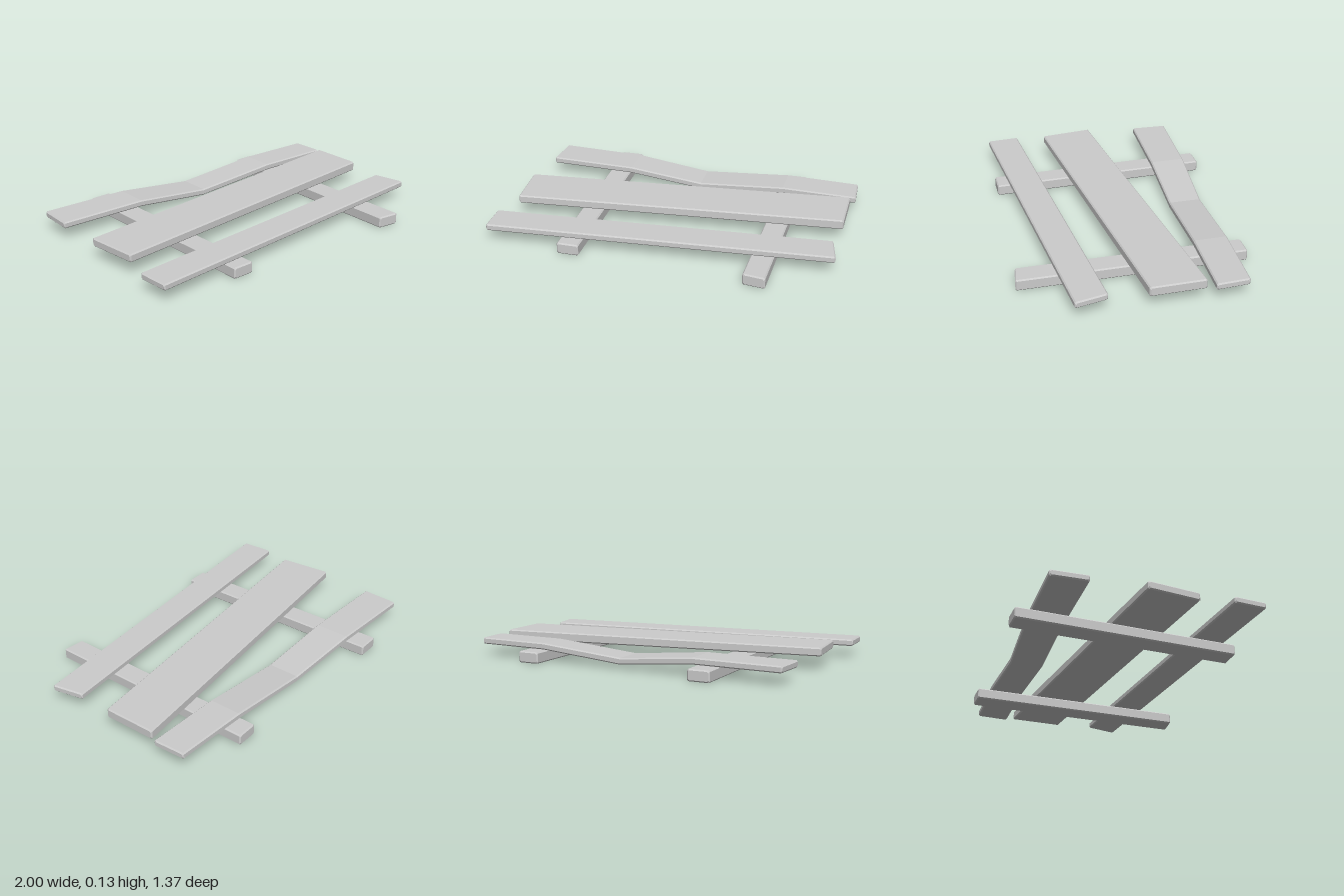
import * as THREE from 'three';

const material = new THREE.MeshStandardMaterial({ color: 0xcccccc, flatShading: true });
const C = 0.007; // edge chamfer

// Chamfered eight-point section between two edge points [x, z]
function section({ a, b, y0, y1 }, inset) {
  const w = Math.hypot(b[0] - a[0], b[1] - a[1]);
  const lo = y0 + inset, hi = y1 - inset;
  const l = inset, r = w - inset;
  const outline = [
    [l + C, lo], [r - C, lo], [r, lo + C], [r, hi - C],
    [r - C, hi], [l + C, hi], [l, hi - C], [l, lo + C],
  ];
  return outline.map(([s, y]) => [
    a[0] + (b[0] - a[0]) * s / w, y, a[1] + (b[1] - a[1]) * s / w,
  ]);
}

// Station a short step from p towards q, where the end chamfer starts
function stepIn(p, q) {
  const t = C / Math.hypot(q.a[0] - p.a[0], q.a[1] - p.a[1]);
  const mix = (u, v) => u + (v - u) * t;
  return {
    a: p.a.map((v, i) => mix(v, q.a[i])),
    b: p.b.map((v, i) => mix(v, q.b[i])),
    y0: mix(p.y0, q.y0), y1: mix(p.y1, q.y1),
  };
}

// Board lofted through stations [left edge x, z, right edge x, z, bottom, top]
function board(name, rows) {
  const st = rows.map(([ax, az, bx, bz, y0, y1]) => ({ a: [ax, az], b: [bx, bz], y0, y1 }));
  const n = st.length;
  const rings = [
    section(st[0], C),
    section(stepIn(st[0], st[1]), 0),
    ...st.slice(1, -1).map((s) => section(s, 0)),
    section(stepIn(st[n - 1], st[n - 2]), 0),
    section(st[n - 1], C),
  ];
  const index = [];
  for (let i = 0; i < rings.length - 1; i++) {
    for (let j = 0; j < 8; j++) {
      const p = i * 8 + j, q = i * 8 + (j + 1) % 8;
      index.push(p, p + 8, q + 8, p, q + 8, q);
    }
  }
  const end = (rings.length - 1) * 8;
  for (let j = 1; j < 7; j++) {
    index.push(0, j, j + 1, end, end + j + 1, end + j);
  }
  const geometry = new THREE.BufferGeometry();
  geometry.setAttribute('position', new THREE.Float32BufferAttribute(rings.flat(2), 3));
  geometry.setIndex(index);
  geometry.computeVertexNormals();
  const mesh = new THREE.Mesh(geometry, material);
  mesh.name = name;
  return mesh;
}

export function createModel() {
  const group = new THREE.Group();
  group.name = 'plankPlatform';
  group.add(
    // Two supporting beams, running back to front
    board('rightBeam', [
      [-0.45, -0.688, -0.58, -0.688, 0, 0.066],
      [-0.425, 0.612, -0.552, 0.612, 0, 0.066],
    ]),
    board('leftBeam', [
      [0.655, -0.62, 0.528, -0.62, 0, 0.066],
      [0.648, 0.685, 0.52, 0.667, 0, 0.066],
    ]),
    // Three crooked planks laid across
    board('frontPlank', [
      [-1, 0.395, -0.99, 0.585, 0.069, 0.107],
      [0.943, 0.248, 0.982, 0.433, 0.069, 0.107],
    ]),
    board('middlePlank', [
      [-0.972, -0.085, -0.94, 0.225, 0.078, 0.126],
      [0.968, -0.28, 0.97, 0.035, 0.069, 0.126],
    ]),
    // The back plank sags between the beams
    board('backPlank', [
      [-0.945, -0.61, -0.955, -0.395, 0.069, 0.107],
      [-0.43, -0.584, -0.43, -0.375, 0.069, 0.107],
      [0.03, -0.549, 0.03, -0.357, 0.025, 0.063],
      [0.55, -0.533, 0.55, -0.337, 0.069, 0.107],
      [0.988, -0.511, 0.997, -0.32, 0.069, 0.107],
    ]),
  );
  return group;
}
